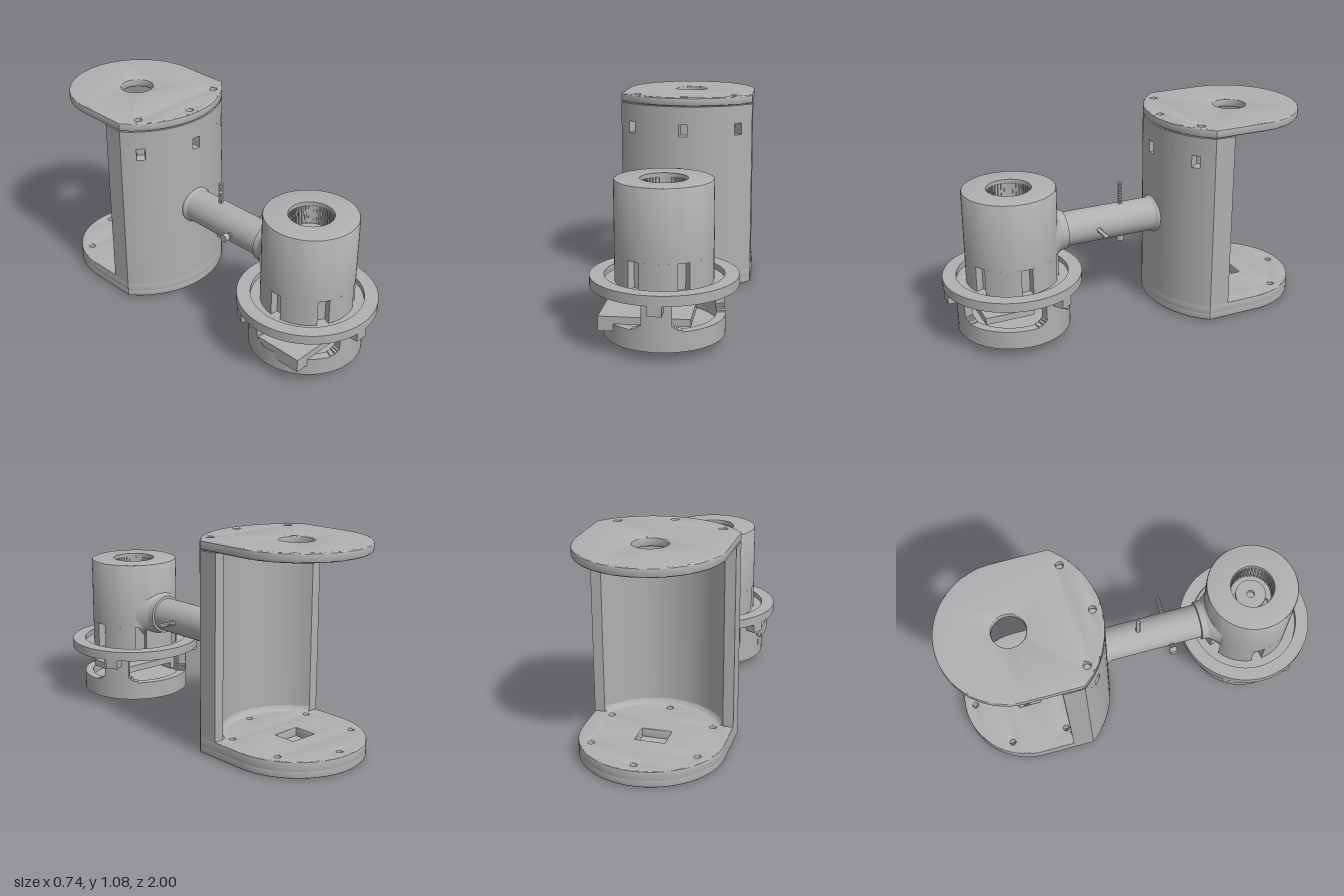
import * as THREE from 'three';
import { toCreasedNormals } from 'three/addons/utils/BufferGeometryUtils.js';

const grey = new THREE.MeshStandardMaterial({ color: 0xb0b0b0 });
grey.name = 'grey';

function add(parent, name, geometry, x = 0, y = 0, z = 0) {
  const mesh = new THREE.Mesh(geometry, grey);
  mesh.name = name;
  mesh.position.set(x, y, z);
  parent.add(mesh);
  return mesh;
}

// Extrude a plan outline (shape x = x, shape y = z) between two heights
function plan(shape, y0, y1, bevel = 0, segments = 24) {
  const g = new THREE.ExtrudeGeometry(shape, {
    depth: y1 - y0 - 2 * bevel, curveSegments: segments, bevelEnabled: bevel > 0,
    bevelThickness: bevel, bevelSize: bevel, bevelOffset: -bevel, bevelSegments: 3,
  });
  g.translate(0, 0, bevel);
  g.rotateX(Math.PI / 2);
  g.translate(0, y1, 0);
  return toCreasedNormals(g, 0.5);
}

function lathe(points, segments = 64, start = 0, length = Math.PI * 2) {
  const g = new THREE.LatheGeometry(points.map(p => new THREE.Vector2(...p)), segments, start, length);
  return toCreasedNormals(g, 0.5);
}

const cylinder = (r, y0, y1) => new THREE.CylinderGeometry(r, r, y1 - y0, 32).translate(0, (y0 + y1) / 2, 0);
const block = (w, h, d) => new THREE.BoxGeometry(w, h, d);
const polar = (r, a) => [r * Math.cos(a), r * Math.sin(a)];

function disc(r, holes = []) {
  const s = new THREE.Shape();
  s.absarc(0, 0, r, 0, Math.PI * 2);
  return drill(s, holes);
}

function drill(shape, holes) {
  for (const [x, z, r] of holes) {
    const p = new THREE.Path();
    p.absarc(x, z, r, 0, Math.PI * 2, true);
    shape.holes.push(p);
  }
  return shape;
}

const ring6 = (r, size, offset = 0) =>
  Array.from({ length: 6 }, (_, i) => [...polar(r, offset + i * Math.PI / 3), size]);

// Arc of the given radius with square pockets cut in at the listed angles
function notchedArc(s, r, depth, half, from, to, angles) {
  let t = from;
  for (const c of angles) {
    s.absarc(0, 0, r, t, c - half);
    s.lineTo(...polar(r - depth, c - half));
    s.lineTo(...polar(r - depth, c + half));
    t = c + half;
    s.lineTo(...polar(r, t));
  }
  s.absarc(0, 0, r, t, to);
}

const SIDE = 0.368, FRONT = 0.465, INNER = 0.36, WALL_BACK = 0.175;
const corner = Math.acos(SIDE / FRONT);
const innerAngle = Math.asin(WALL_BACK / INNER);

function plateShape(holes) {
  const s = new THREE.Shape();
  s.absarc(0, 0, FRONT, corner, Math.PI - corner);
  s.lineTo(-SIDE, 0);
  s.absarc(0, 0, SIDE, Math.PI, Math.PI * 2);
  s.closePath();
  return drill(s, holes);
}

function wallShape(angles) {
  const s = new THREE.Shape();
  notchedArc(s, FRONT, 0.06, 0.05, corner, Math.PI - corner, angles);
  s.lineTo(-SIDE, WALL_BACK);
  s.absarc(0, 0, INNER, Math.PI - innerAngle, innerAngle, true);
  s.lineTo(SIDE, WALL_BACK);
  s.closePath();
  return s;
}

// Screw standing on y, threaded shaft from y0 to y1 with a head under it
function screw(name, y0, y1) {
  const g = new THREE.Group();
  g.name = name;
  const profile = [[0.008, y0]];
  for (let y = y0; y < y1 - 0.005; y += 0.01) profile.push([0.013, y + 0.005], [0.009, y + 0.01]);
  profile.push([0, y1]);
  add(g, 'screwThread', lathe(profile, 12));
  add(g, 'screwHead', cylinder(0.021, y0 - 0.028, y0));
  return g;
}

function createStand() {
  const stand = new THREE.Group();
  stand.name = 'stand';
  stand.position.z = -0.63;

  add(stand, 'topPlate', plan(plateShape([[0, 0, 0.087],
    [0.27, 0.32, 0.018], [-0.27, 0.32, 0.018], [0, 0.418, 0.018]]), 1.036, 1.084, 0.01));

  // Curved wall, with three pockets near the top
  const pockets = [-0.688, 0, 0.688].map(a => Math.PI / 2 + a);
  add(stand, 'wallLower', plan(wallShape([]), 0.085, 0.87));
  add(stand, 'wallPocketBand', plan(wallShape(pockets), 0.87, 0.935));
  add(stand, 'wallUpper', plan(wallShape([]), 0.935, 1.034));
  const sweep = Math.PI / 2 - innerAngle;
  add(stand, 'wallFillet', lathe([[0.36, 0.115], [0.353, 0.1], [0.345, 0.093], [0.333, 0.09]], 32, -sweep, 2 * sweep));

  // Base plate with screw holes and a square blind pocket
  const screws = ring6(0.31, 0.016, Math.PI / 6);
  add(stand, 'baseLower', plan(plateShape([...screws, [-0.05, -0.03, 0.018], [0.02, 0, 0.01]]), 0.005, 0.045, 0.006));
  const upper = plateShape(screws);
  const pocket = new THREE.Path();
  pocket.moveTo(-0.08, -0.07);
  pocket.lineTo(-0.08, 0.05);
  pocket.lineTo(0.07, 0.05);
  pocket.lineTo(0.07, -0.07);
  pocket.closePath();
  upper.holes.push(pocket);
  add(stand, 'baseUpper', plan(upper, 0.036, 0.09, 0.006));
  return stand;
}

function createArm() {
  const arm = new THREE.Group();
  arm.name = 'arm';
  arm.position.y = 0.525;
  const tube = lathe([[0.1, -0.2], [0.1, -0.165], [0.091, -0.15], [0.091, 0.35],
    [0.104, 0.352], [0.106, 0.385], [0.117, 0.402], [0.15, 0.445]], 48);
  add(arm, 'armTube', tube.rotateX(Math.PI / 2));
  const vertical = screw('verticalScrew', -0.092, 0.208);
  vertical.position.z = 0.02;
  const cross = screw('crossScrew', -0.115, 0.19);
  cross.position.z = 0.18;
  cross.rotation.z = -Math.PI / 2;
  arm.add(vertical, cross);
  return arm;
}

function createHead() {
  const head = new THREE.Group();
  head.name = 'head';
  head.position.set(0.005, 0, 0.637);

  // Motor housing with an open top and slots around its foot
  add(head, 'housing', lathe([[0.24, 0.455], [0.24, 0.802], [0.237, 0.808], [0.232, 0.81],
    [0.115, 0.81], [0.115, 0.69], [0, 0.69]]));
  const foot = new THREE.Shape();
  notchedArc(foot, 0.24, 0.04, 0.125, 0.3, 0.3 + Math.PI * 2,
    [1, 2, 3, 4, 5, 6].map(i => i * Math.PI / 3));
  add(head, 'slottedFoot', plan(foot, 0.315, 0.455, 0, 12));
  for (let i = 0; i < 40; i++) {
    const a = i * Math.PI / 20;
    const rib = add(head, 'innerRib', block(0.006, 0.1, 0.008), 0.112 * Math.cos(a), 0.74, 0.112 * Math.sin(a));
    rib.rotation.y = -a;
  }
  add(head, 'motorFace', plan(disc(0.08, [[-0.055, -0.06, 0.015], [-0.055, 0.06, 0.015], [0, 0, 0.02]]), 0.69, 0.71));

  // Round tray with a raised rim
  add(head, 'trayFloor', plan(disc(0.361, [...ring6(0.325, 0.014, 0.25), ...ring6(0.16, 0.012)]), 0.295, 0.316, 0, 48));
  add(head, 'trayRim', plan(disc(0.361, [[0, 0, 0.29]]), 0.316, 0.345, 0, 48));

  // Cup hanging on three curved legs, with a shaft stub below
  add(head, 'cup', lathe([[0, 0.05], [0.295, 0.05], [0.295, 0.147], [0.25, 0.147], [0.25, 0.1], [0, 0.1]]));
  add(head, 'shaftStub', cylinder(0.062, 0, 0.055));
  for (let i = 0; i < 3; i++) {
    const a = Math.PI / 2 + i * Math.PI * 2 / 3;
    const sector = half => {
      const s = new THREE.Shape();
      s.absarc(0, 0, 0.295, a - half, a + half);
      s.absarc(0, 0, 0.25, a + half, a - half, true);
      s.closePath();
      return s;
    };
    add(head, 'leg', plan(sector(0.25), 0.14, 0.298));
    // stepped flare where the leg meets the cup
    [0.42, 0.34, 0.29].forEach((half, k) =>
      add(head, 'legFlare', plan(sector(half), 0.14, 0.155 + k * 0.01)));
    const boss = add(head, 'boss', block(0.06, 0.052, 0.068), 0.328 * Math.cos(a), 0.271, 0.328 * Math.sin(a));
    boss.rotation.y = -a;
  }

  // Motor shaft and the flat lever it turns
  add(head, 'shaftCollar', cylinder(0.068, 0.265, 0.296), -0.065, 0, 0.005);
  add(head, 'shaftCoupling', cylinder(0.06, 0.205, 0.27), -0.065, 0, 0.005);
  add(head, 'lever', block(0.44, 0.036, 0.26), -0.07, 0.165, 0.07);
  add(head, 'leverTab', block(0.075, 0.072, 0.26), -0.253, 0.146, 0.07);
  return head;
}

export function createModel() {
  const model = new THREE.Group();
  model.name = 'standWithMotorHead';
  model.add(createStand(), createArm(), createHead());
  return model;
}
